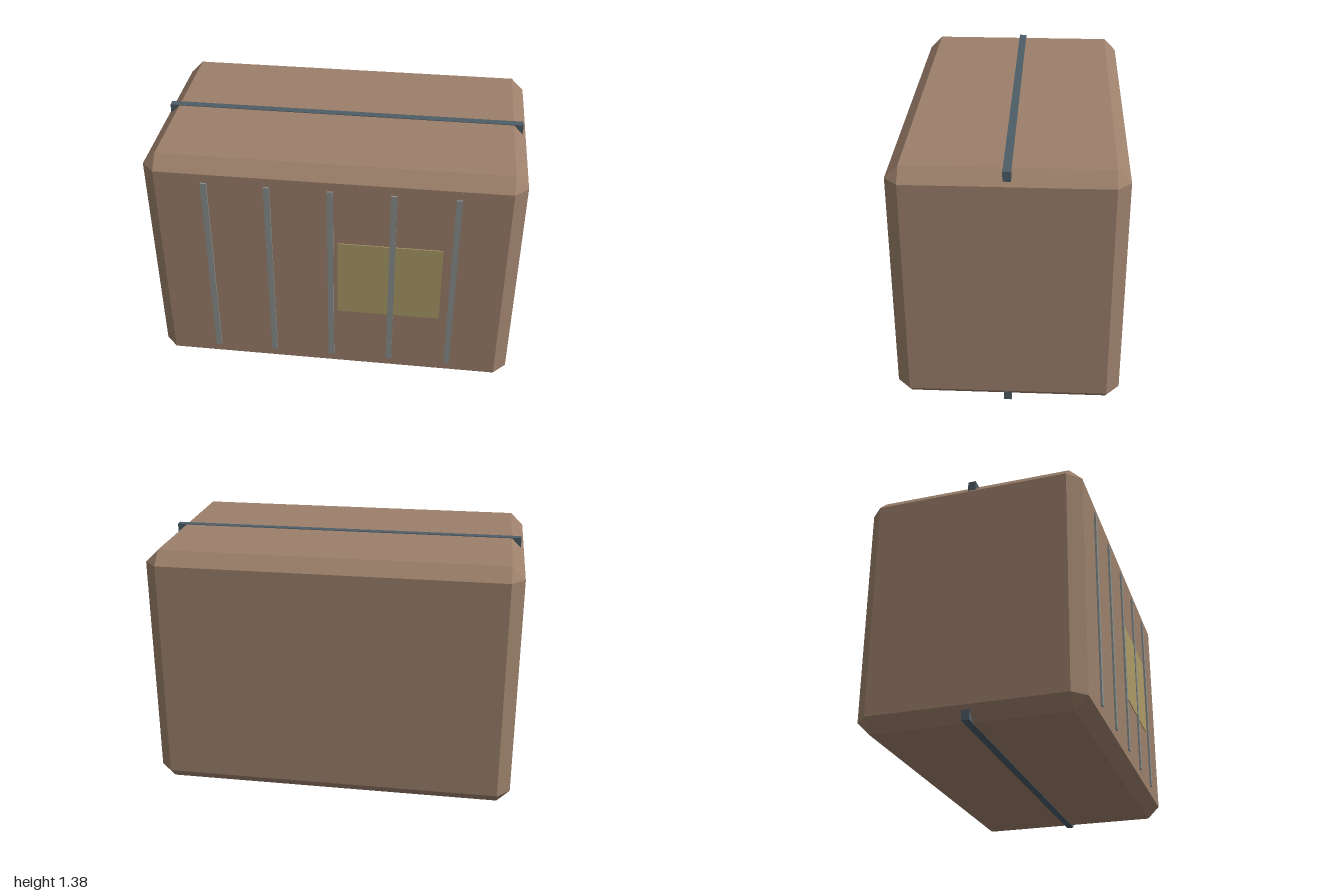
import * as THREE from 'three';
import { ConvexGeometry } from 'three/addons/geometries/ConvexGeometry.js';

const paint = (color) => new THREE.MeshStandardMaterial({ color, flatShading: true });

// Box with flat chamfers on every edge and a triangle at each corner
function chamferedBox(w, h, d, c) {
  const points = [];
  for (const sx of [-1, 1]) for (const sy of [-1, 1]) for (const sz of [-1, 1]) {
    const x = w / 2, y = h / 2, z = d / 2;
    points.push(
      new THREE.Vector3(sx * x, sy * (y - c), sz * (z - c)),
      new THREE.Vector3(sx * (x - c), sy * y, sz * (z - c)),
      new THREE.Vector3(sx * (x - c), sy * (y - c), sz * z));
  }
  return new ConvexGeometry(points);
}

export function createModel() {
  const model = new THREE.Group();
  model.name = 'crate';
  const strapPaint = paint(0x4c5c66);
  const ribPaint = paint(0x89908e);

  const add = (name, geometry, material, x, y, z) => {
    const mesh = new THREE.Mesh(geometry, material);
    mesh.name = name;
    mesh.position.set(x, y, z);
    model.add(mesh);
  };

  const H = 1.378, midZ = -0.005;

  // Chamfered body
  add('body', chamferedBox(2, H - 0.006, 1.19, 0.07), paint(0x9c806b), 0, H / 2, midZ);

  // Straps along the top and bottom, just proud of the faces
  const strap = new THREE.BoxGeometry(1.964, 0.053, 0.042);
  add('topStrap', strap, strapPaint, 0, H - 0.0265, midZ);
  add('bottomStrap', strap, strapPaint, 0, 0.0265, midZ);

  // Five upright ribs on the front
  const rib = new THREE.BoxGeometry(0.032, 1.13, 0.02);
  for (let i = -2; i <= 2; i++) add('frontRib', rib, ribPaint, i * 0.331 - 0.003, 0.69, 0.59);

  // Label panel behind the ribs
  add('labelPanel', new THREE.BoxGeometry(0.562, 0.47, 0.012), paint(0xab9b66), 0.316, 0.69, 0.589);

  return model;
}
